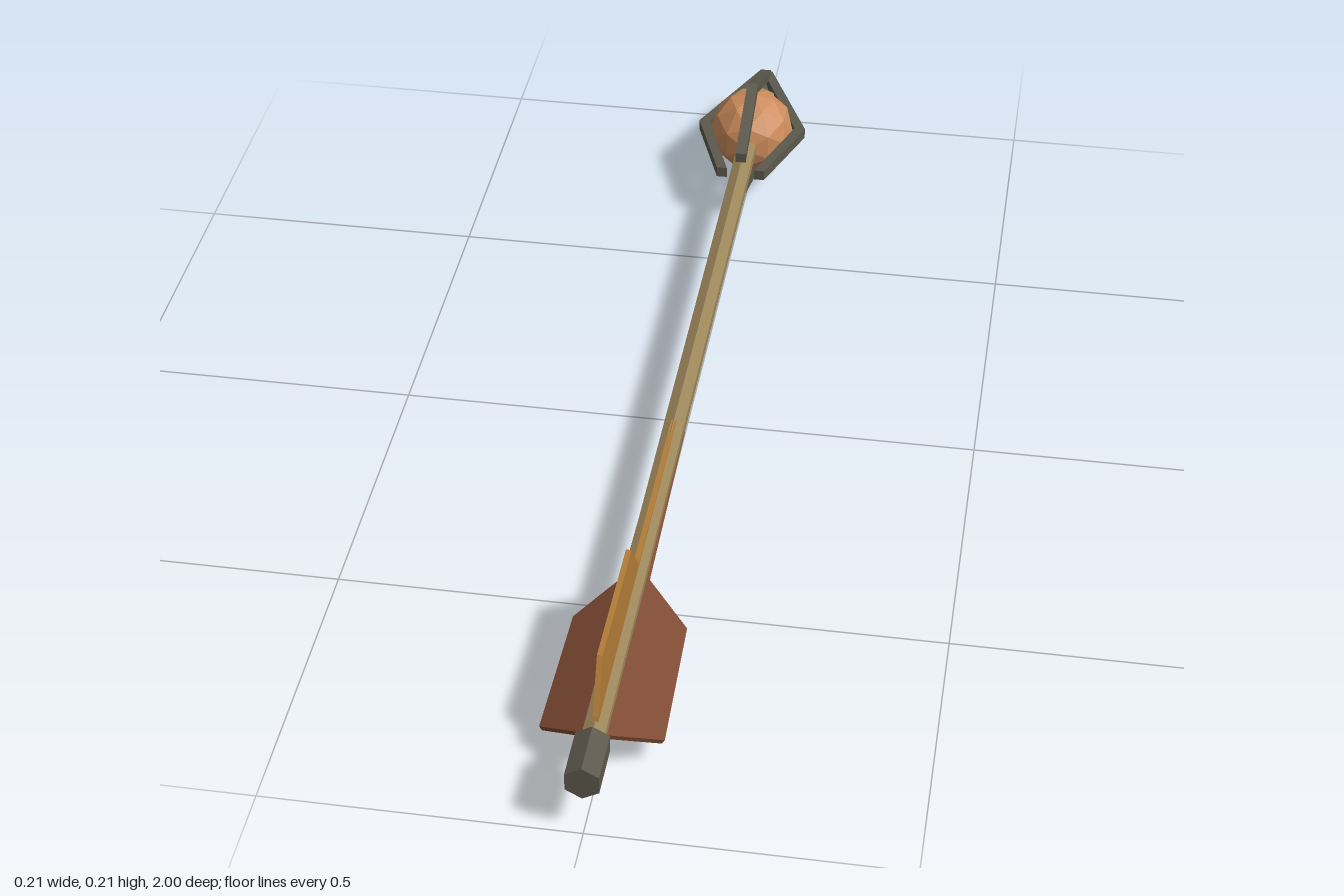
import * as THREE from 'three';

const paint = (name, color) => {
  const m = new THREE.MeshStandardMaterial({ color, flatShading: true });
  m.name = name;
  return m;
};

export function createModel() {
  const iron = paint('dark iron', 0x5c584c);
  const wood = paint('pale wood', 0x9c865a);
  const clay = paint('orange clay', 0xcc8c5c);
  const ochre = paint('ochre feather', 0xb27c38);
  const rust = paint('rust feather', 0x7e4a32);

  const arrow = new THREE.Group();
  arrow.name = 'arrow';
  const axis = new THREE.Group();
  axis.name = 'arrowAxis';
  axis.position.y = 0.103;
  arrow.add(axis);

  const add = (name, geometry, material) => {
    const mesh = new THREE.Mesh(geometry, material);
    mesh.name = name;
    axis.add(mesh);
    return mesh;
  };

  // six-sided rod running along z
  const hexRod = (name, zBack, zFront, rBack, rFront, material) => {
    const g = new THREE.CylinderGeometry(rFront, rBack, zFront - zBack, 6);
    g.rotateX(Math.PI / 2).translate(0, 0, (zFront + zBack) / 2);
    return add(name, g, material);
  };

  // plate from a (z, radius) outline, turned about the shaft
  const plate = (name, outline, width, angle, material) => {
    const shape = new THREE.Shape(outline.map(([z, r]) => new THREE.Vector2(z, r)));
    const g = new THREE.ExtrudeGeometry(shape, { depth: width, bevelEnabled: false });
    g.translate(0, 0, -width / 2).rotateY(-Math.PI / 2).rotateZ(angle);
    return add(name, g, material);
  };

  // shaft and nock
  hexRod('shaft', -0.76, 0.92, 0.02, 0.02, wood);
  hexRod('nock', 0.91, 1, 0.03, 0.03, iron);

  // clay ball with its plug
  const ball = add('ball', new THREE.IcosahedronGeometry(0.08, 1), clay);
  ball.position.z = -0.8;
  hexRod('plug', -0.915, -0.84, 0.032, 0.038, wood).scale.y = 0.8;

  // cage of four bent bars around the ball
  const bar = [[-1, 0], [-1, 0.013], [-0.8, 0.103], [-0.64, 0.045], [-0.64, 0.026], [-0.8, 0.083], [-0.985, 0]];
  for (let i = 0; i < 4; i++) plate('cageBar', bar, 0.02, i * Math.PI / 2, iron);

  // three feathers, each with a thin quill tapering into the shaft
  const feather = [[0.89, 0.012], [0.885, 0.026], [0.84, 0.109], [0.59, 0.103], [0.53, 0.023], [0.15, 0.019], [0.15, 0.012]];
  plate('topFeather', feather, 0.009, 0, ochre);
  for (const s of [-1, 1]) plate(s < 0 ? 'leftFeather' : 'rightFeather', feather, 0.009, s * 2 * Math.PI / 3, rust);

  return arrow;
}
